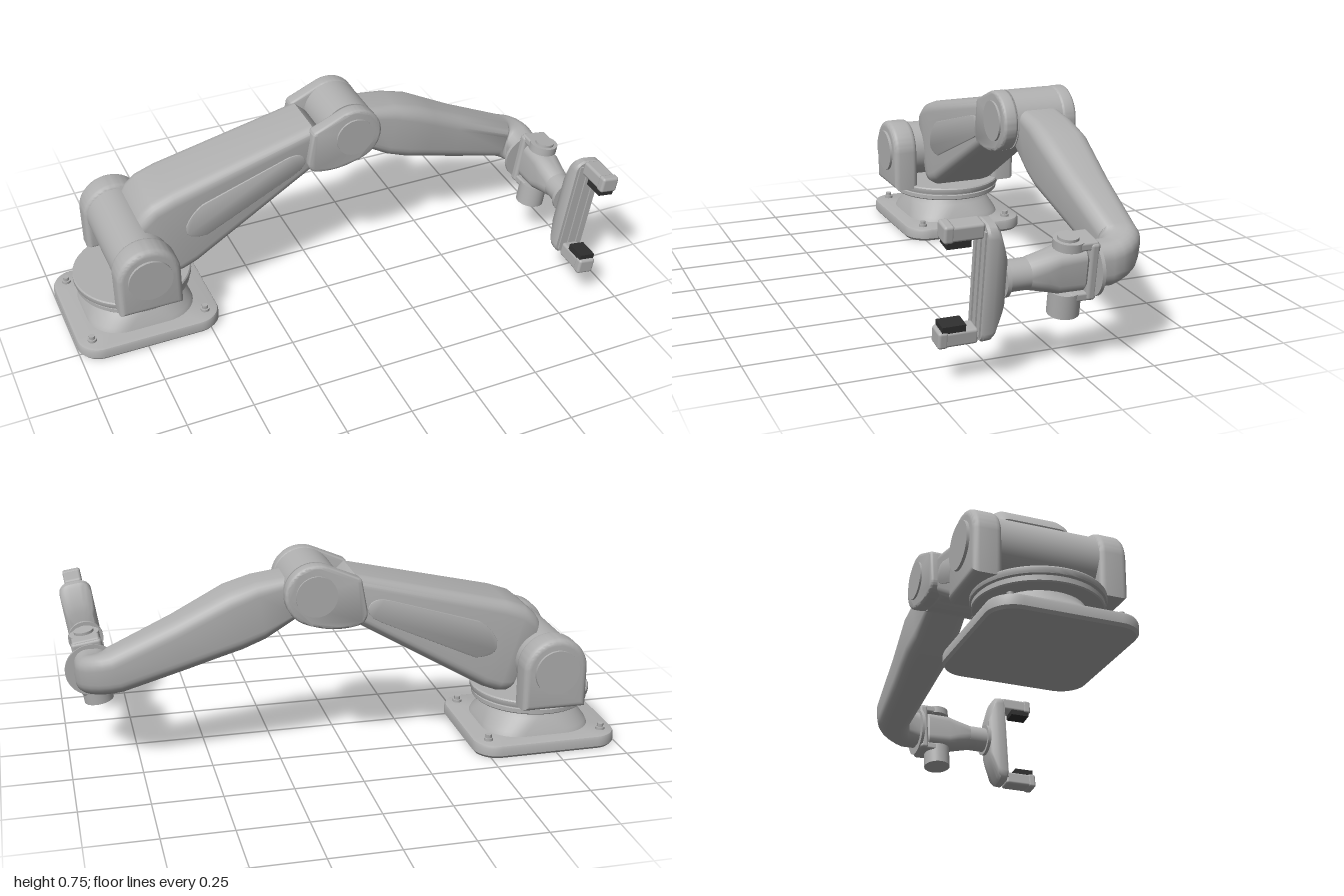
import * as THREE from 'three';
import { toCreasedNormals } from 'three/addons/utils/BufferGeometryUtils.js';
import { RoundedBoxGeometry } from 'three/addons/geometries/RoundedBoxGeometry.js';

const V = (x, y, z) => new THREE.Vector3(x, y, z);
const ZC = -0.1875; // middle plane of the arm
const BX = -0.725;  // base and shoulder axis

// Rounded rectangle around c, spanned by half-axes u and v, corner radius r
function ring(c, u, v, r, n = 6) {
  const lu = u.length(), lv = v.length(), pts = [];
  r = Math.min(r, lu, lv);
  const nu = u.clone().normalize(), nv = v.clone().normalize();
  [[1, 1], [-1, 1], [-1, -1], [1, -1]].forEach(([a, b], k) => {
    for (let i = 0; i <= n; i++) {
      const t = (k + i / n) * Math.PI / 2;
      pts.push(c.clone()
        .addScaledVector(nu, a * (lu - r) + r * Math.cos(t))
        .addScaledVector(nv, b * (lv - r) + r * Math.sin(t)));
    }
  });
  return pts;
}

// Skin over rings, closed at both ends
function loft(rings, crease = 0.65) {
  const m = rings[0].length, pos = [], idx = [];
  rings.forEach(rg => rg.forEach(p => pos.push(p.x, p.y, p.z)));
  for (let i = 0; i < rings.length - 1; i++) {
    for (let j = 0; j < m; j++) {
      const a = i * m + j, b = i * m + (j + 1) % m;
      idx.push(a, b, b + m, a, b + m, a + m);
    }
  }
  [0, rings.length - 1].forEach((i, end) => {
    const c = rings[i].reduce((s, p) => s.add(p), V(0, 0, 0)).divideScalar(m);
    const k = pos.length / 3;
    pos.push(c.x, c.y, c.z);
    for (let j = 0; j < m; j++) {
      const a = i * m + j, b = i * m + (j + 1) % m;
      if (end) idx.push(k, a, b); else idx.push(k, b, a);
    }
  });
  const g = new THREE.BufferGeometry();
  g.setAttribute('position', new THREE.Float32BufferAttribute(pos, 3));
  g.setIndex(idx);
  return toCreasedNormals(g, crease);
}

// Arm section given by its top and bottom points in the side profile
function armRing([tx, ty, bx, by, hz, r]) {
  return ring(V((tx + bx) / 2, (ty + by) / 2, ZC), V(0, 0, -hz), V((tx - bx) / 2, (ty - by) / 2, 0), r);
}

// Bevelled plate of the given thickness, centred on z = 0
function plate(shape, thick, bevel) {
  const g = new THREE.ExtrudeGeometry(shape, {
    depth: thick - 2 * bevel, bevelThickness: bevel, bevelSize: bevel, bevelOffset: -bevel,
    bevelSegments: 4, curveSegments: 24,
  });
  g.translate(0, 0, -(thick - 2 * bevel) / 2);
  return toCreasedNormals(g, 0.6);
}

const cylZ = (r, len) => new THREE.CylinderGeometry(r, r, len, 48).rotateX(Math.PI / 2);

export function createModel() {
  const model = new THREE.Group();
  const grey = new THREE.MeshStandardMaterial({ color: 0xb0b0b0 });
  grey.name = 'body grey';
  const dark = new THREE.MeshStandardMaterial({ color: 0x303030 });
  dark.name = 'pad black';
  const add = (name, geo, x = 0, y = 0, z = 0, parent = model, mat = grey) => {
    const mesh = new THREE.Mesh(geo, mat);
    mesh.name = name;
    mesh.position.set(x, y, z);
    parent.add(mesh);
    return mesh;
  };

  // Base plate, pedestal and turntable
  const flat = (y, hx, hz, r) => ring(V(0, y, 0), V(0, 0, hz), V(hx, 0, 0), r, 10);
  add('basePlate', loft([
    flat(0, 0.267, 0.244, 0.082), flat(0.01, 0.275, 0.252, 0.09),
    flat(0.038, 0.275, 0.252, 0.09), flat(0.047, 0.271, 0.248, 0.086), flat(0.05, 0.262, 0.239, 0.077),
  ]), BX, 0, ZC);
  add('pedestal', loft([
    flat(0.045, 0.207, 0.195, 0.13), flat(0.065, 0.2, 0.188, 0.13),
    flat(0.11, 0.17, 0.168, 0.15), flat(0.13, 0.157, 0.156, 0.15), flat(0.15, 0.152, 0.152, 0.152),
  ]), BX, 0, ZC);
  const disc = [[0, 0.143], [0.212, 0.143], [0.216, 0.147], [0.216, 0.162], [0.21, 0.164], [0.21, 0.168],
    [0.221, 0.17], [0.223, 0.174], [0.223, 0.19], [0.219, 0.195], [0, 0.195]];
  add('turntable', toCreasedNormals(new THREE.LatheGeometry(disc.map(p => new THREE.Vector2(...p)), 64), 0.5), BX, 0, ZC);
  for (const sx of [-1, 1]) for (const sz of [-1, 1]) {
    add('boltWasher', new THREE.CylinderGeometry(0.017, 0.017, 0.012, 20), BX + sx * 0.22, 0.054, ZC + sz * 0.185);
    add('boltHead', new THREE.CylinderGeometry(0.012, 0.012, 0.026, 6), BX + sx * 0.22, 0.06, ZC + sz * 0.185);
  }

  // Shoulder: two side brackets, caps and axle
  const cheek = new THREE.Shape();
  cheek.moveTo(-0.12, -0.15);
  cheek.lineTo(0.12, -0.15);
  cheek.lineTo(0.12, 0);
  cheek.absarc(0, 0, 0.12, 0, Math.PI, false);
  cheek.closePath();
  const cheekGeo = plate(cheek, 0.1, 0.022);
  for (const s of [-1, 1]) {
    add('shoulderBracket', cheekGeo, BX, 0.333, ZC + s * 0.2175);
    add('shoulderCap', cylZ(0.083, 0.03), BX, 0.33, ZC + s * 0.2625);
  }
  add('shoulderAxle', cylZ(0.11, 0.36), BX, 0.33, ZC);

  // Upper arm
  add('upperArm', loft([
    [-0.7, 0.455, -0.62, 0.24, 0.115, 0.03],
    [-0.71, 0.475, -0.605, 0.215, 0.13, 0.04],
    [-0.695, 0.5, -0.59, 0.207, 0.135, 0.045],
    [-0.655, 0.533, -0.555, 0.21, 0.136, 0.045],
    [-0.58, 0.56, -0.5, 0.232, 0.135, 0.045],
    [-0.02, 0.695, -0.03, 0.51, 0.115, 0.04],
    [0.02, 0.66, 0.05, 0.53, 0.1, 0.035],
  ].map(armRing)));

  // Thin side panels that follow the taper of the arm
  const panel = new THREE.Shape();
  panel.moveTo(-0.54, 0.4);
  panel.quadraticCurveTo(-0.54, 0.36, -0.46, 0.36);
  panel.lineTo(-0.13, 0.51);
  panel.quadraticCurveTo(-0.06, 0.54, -0.06, 0.57);
  panel.quadraticCurveTo(-0.07, 0.62, -0.14, 0.6);
  panel.lineTo(-0.47, 0.5);
  panel.quadraticCurveTo(-0.52, 0.47, -0.54, 0.42);
  panel.closePath();
  const panelGeo = plate(panel, 0.009, 0.002);
  const pp = panelGeo.attributes.position;
  for (let i = 0; i < pp.count; i++) {
    pp.setZ(i, pp.getZ(i) + 0.135 - 0.02 * (pp.getX(i) + 0.54) / 0.51);
  }
  for (const s of [-1, 1]) add('armPanel', panelGeo, 0, 0, ZC).scale.z = s;

  // Elbow: two side plates, caps and barrel
  const ex = 0.13, ey = 0.642;
  const link = new THREE.Shape();
  link.moveTo(-0.165, 0.04);
  link.lineTo(-0.185, -0.07);
  link.quadraticCurveTo(-0.187, -0.112, -0.15, -0.122);
  link.quadraticCurveTo(-0.06, -0.142, 0.03, -0.106);
  link.absarc(0, 0, 0.11, -1.3, 1.95, false);
  link.lineTo(-0.15, 0.055);
  link.quadraticCurveTo(-0.163, 0.05, -0.165, 0.04);
  const linkGeo = plate(link, 0.055, 0.012);
  for (const s of [-1, 1]) {
    add('elbowPlate', linkGeo, ex, ey, ZC + s * 0.115);
    add('elbowCap', cylZ(0.074, 0.02), ex, ey, ZC + s * 0.14);
  }
  add('elbowBarrel', cylZ(0.109, 0.176), ex, ey, ZC);

  // Forearm with a quarter bend towards the front
  const fore = [
    [0.15, 0.71, 0.11, 0.57, 0.08, 0.03],
    [0.23, 0.692, 0.19, 0.535, 0.084, 0.035],
    [0.33, 0.68, 0.3, 0.468, 0.09, 0.045],
    [0.43, 0.65, 0.38, 0.437, 0.095, 0.05],
    [0.5, 0.615, 0.46, 0.412, 0.09, 0.05],
    [0.62, 0.555, 0.58, 0.373, 0.082, 0.05],
  ].map(armRing);
  for (let i = 0; i <= 6; i++) {
    const t = i / 6, a = t * Math.PI / 2, s = Math.sin(a), c = Math.cos(a), h = 0.07 - 0.006 * t;
    fore.push(ring(V(0.825 + 0.073 * s, 0.38 - 0.035 * t, -0.115 - 0.073 * c),
      V(h * s, 0, -h * c), V(0.025 * (1 - t), 0.074, 0), 0.05));
  }
  fore.push(ring(V(0.898, 0.345, -0.065), V(0.064, 0, 0), V(0, 0.073, 0), 0.05));
  add('forearm', loft(fore, 0.8));

  // Wrist, rolled slightly about its own axis
  const wrist = new THREE.Group();
  wrist.name = 'wrist';
  wrist.position.set(0.9, 0.345, 0);
  wrist.rotation.z = -0.15;
  model.add(wrist);
  const w = (name, geo, x, y, z, mat) => add(name, geo, x, y, z, wrist, mat);
  w('wristFlange', cylZ(0.097, 0.012), 0, -0.008, -0.061);
  w('forkBase', new RoundedBoxGeometry(0.11, 0.205, 0.035, 3, 0.012), 0, -0.002, -0.045);
  for (const [y, h, armY] of [[0.09, 0.03, 0.09], [-0.12, 0.085, -0.09]]) {
    w('forkLug', new THREE.CylinderGeometry(0.054, 0.054, h, 40), 0, y, 0.025);
    w('forkArm', new RoundedBoxGeometry(0.1, 0.03, 0.085, 2, 0.008), 0, armY, -0.015);
  }
  w('hingeCap', new THREE.CylinderGeometry(0.036, 0.036, 0.012, 32), 0, 0.109, 0.03);
  const along = rows => loft(rows.map(([z, hx, hy, r]) => ring(V(0, 0, z), V(hx, 0, 0), V(0, hy, 0), r)));
  w('wristBody', along([
    [-0.03, 0.045, 0.065, 0.03], [-0.02, 0.053, 0.075, 0.035], [0.07, 0.055, 0.075, 0.04],
    [0.11, 0.053, 0.067, 0.048], [0.165, 0.05, 0.055, 0.05], [0.175, 0.046, 0.05, 0.046],
  ]), 0, 0, 0);
  w('wristNeck', cylZ(0.052, 0.08), 0, 0, 0.208);
  w('toolFlange', cylZ(0.066, 0.014), 0, 0, 0.25);

  // Gripper body with lengthwise rails
  w('gripperBody', along([
    [0.256, 0.045, 0.1, 0.03], [0.265, 0.053, 0.128, 0.035], [0.285, 0.06, 0.19, 0.04],
    [0.297, 0.06, 0.204, 0.04], [0.322, 0.06, 0.206, 0.04], [0.33, 0.055, 0.2, 0.035],
  ]), 0, 0, 0);
  for (const x of [-0.036, 0, 0.036]) w('gripperRail', new THREE.BoxGeometry(0.018, 0.37, 0.012), x, 0, 0.33);

  // Two fingers with dark pads
  for (const s of [-1, 1]) {
    w('finger', new RoundedBoxGeometry(0.066, 0.054, 0.135, 3, 0.01), 0, s * 0.184, 0.3975);
    w('fingerTip', new RoundedBoxGeometry(0.068, 0.06, 0.035, 3, 0.01), 0, s * 0.184, 0.448);
    w('fingerPad', new THREE.BoxGeometry(0.06, 0.026, 0.08), 0, s * 0.149, 0.414, dark);
  }
  return model;
}
